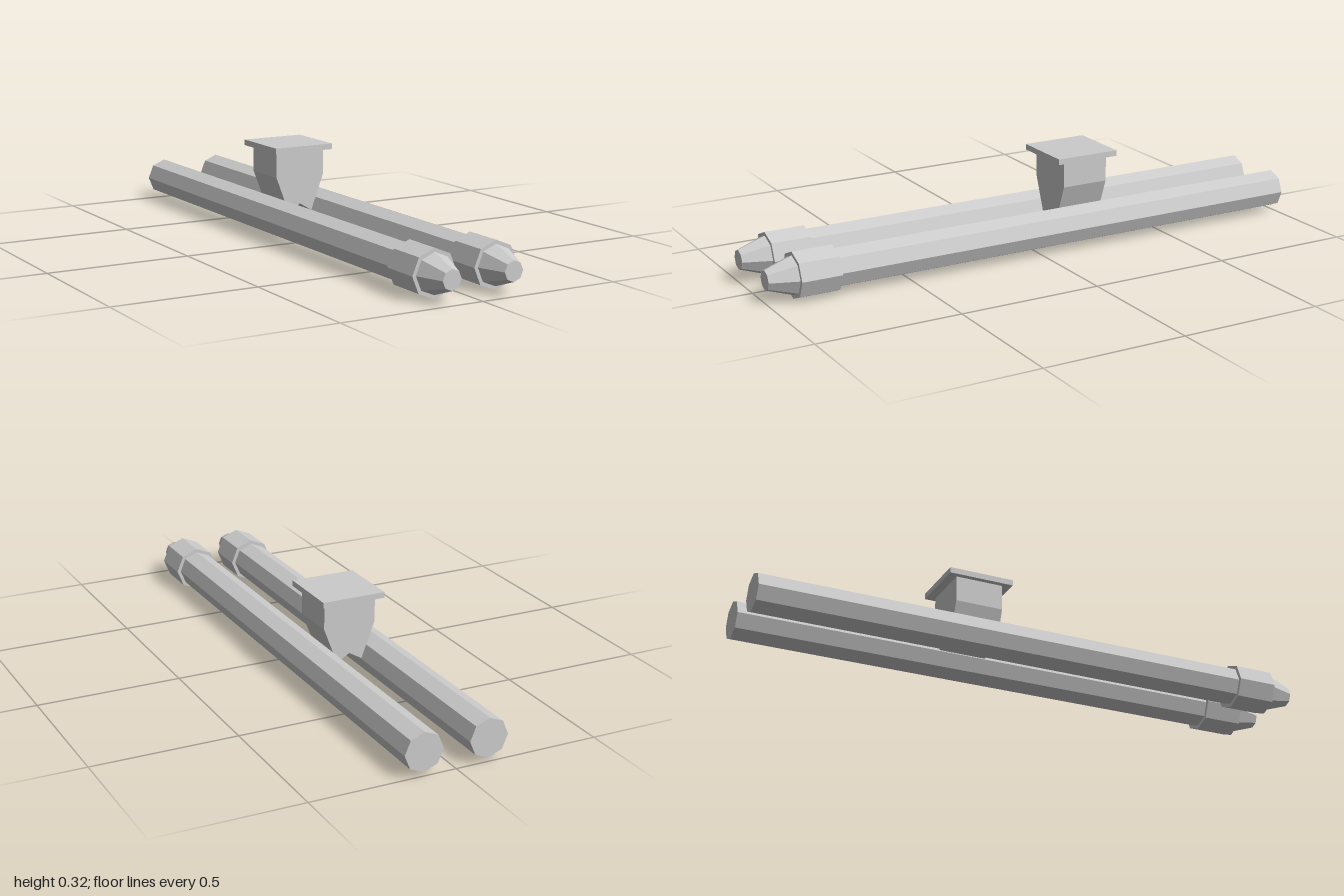
import * as THREE from 'three';

const material = new THREE.MeshStandardMaterial({ color: 0xcccccc, flatShading: true });

function addMesh(parent, name, geometry) {
  const mesh = new THREE.Mesh(geometry, material);
  mesh.name = name;
  parent.add(mesh);
  return mesh;
}

// Eight-sided section along z, from zBack to zFront
function octagonSection(rFront, rBack, zBack, zFront) {
  return new THREE.CylinderGeometry(rFront, rBack, zFront - zBack, 8)
    .rotateX(Math.PI / 2)
    .translate(0, 0, (zBack + zFront) / 2);
}

export function createModel() {
  const model = new THREE.Group();
  model.name = 'twinBarrelMount';

  // Two barrels, each with a collar and a tapered nose
  for (const side of [1, -1]) {
    const barrel = new THREE.Group();
    barrel.name = side > 0 ? 'leftBarrel' : 'rightBarrel';
    barrel.position.set(side * 0.113, 0.08, 0);
    addMesh(barrel, 'tube', octagonSection(0.067, 0.067, -1, 0.78));
    addMesh(barrel, 'collar', octagonSection(0.08, 0.08, 0.765, 0.905));
    addMesh(barrel, 'nose', octagonSection(0.034, 0.067, 0.905, 1));
    model.add(barrel);
  }

  // Bracket tapering down between the barrels, with a notched underside
  const half = [[0.094, 0.3], [0.094, 0.21], [0.046, 0.083]];
  const outline = [
    ...half.map(([x, y]) => new THREE.Vector2(x, y)),
    new THREE.Vector2(0, 0.11),
    ...half.map(([x, y]) => new THREE.Vector2(-x, y)).reverse(),
  ];
  const bracket = addMesh(model, 'bracket', new THREE.ExtrudeGeometry(
    new THREE.Shape(outline), { depth: 0.17, bevelEnabled: false }));
  bracket.position.z = -0.288;

  // Mounting plate on top
  const plate = addMesh(model, 'mountingPlate', new THREE.BoxGeometry(0.226, 0.02, 0.233));
  plate.position.set(0, 0.31, -0.203);

  return model;
}
